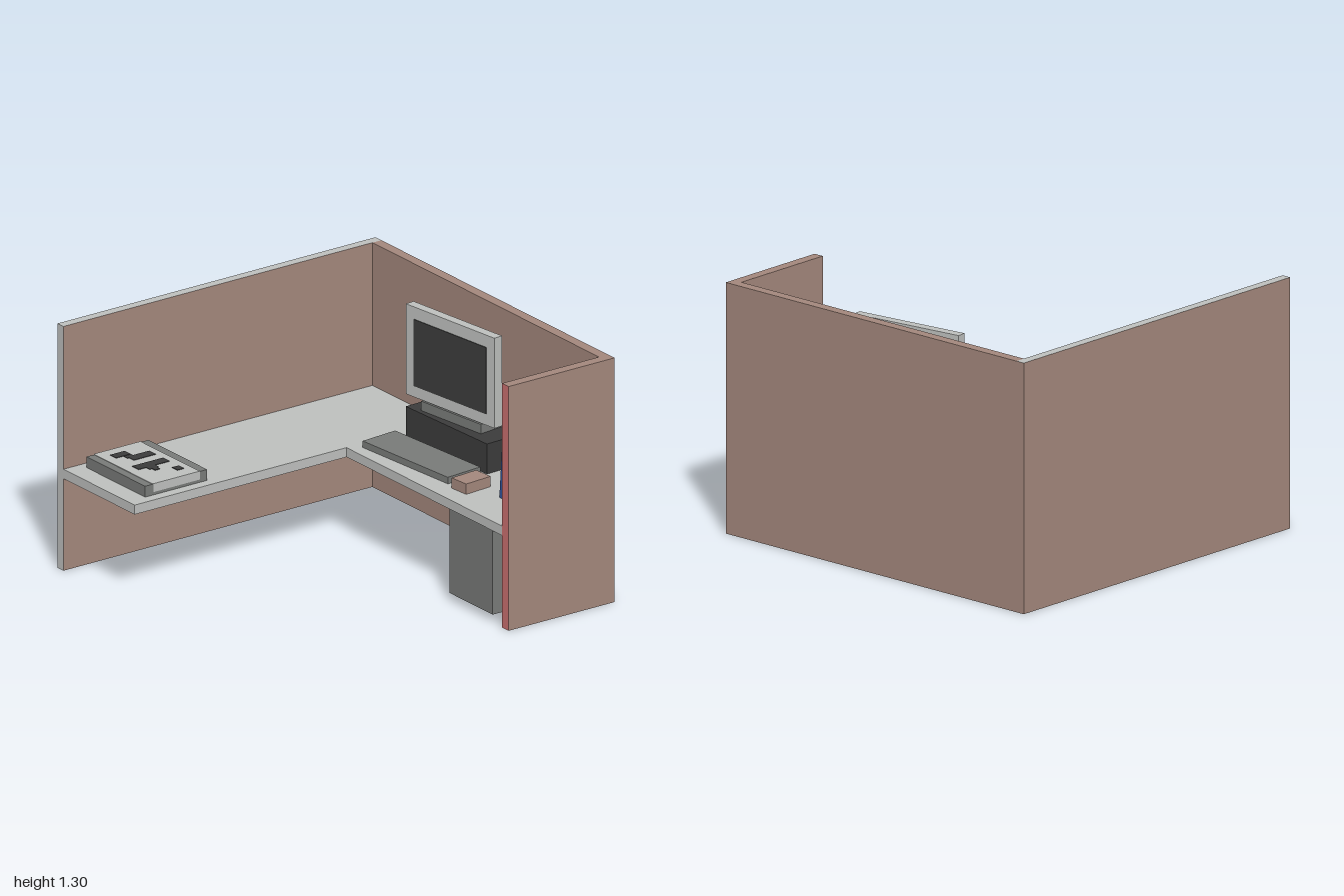
import * as THREE from 'three';

const mat = (name, color) => {
  const m = new THREE.MeshStandardMaterial({ color });
  m.name = name;
  return m;
};

export function createModel() {
  const brown = mat('brown fabric', 0xa3877c);
  const light = mat('light grey', 0xbdbfbd);
  const grey = mat('mid grey', 0x787a78);
  const dark = mat('charcoal', 0x3b3b3b);
  const blue = mat('blue', 0x2f549c);
  const red = mat('red', 0xcb7070);

  const model = new THREE.Group();

  // box from its lower and upper corners
  const box = (name, material, [x0, y0, z0], [x1, y1, z1], parent = model) => {
    const mesh = new THREE.Mesh(new THREE.BoxGeometry(x1 - x0, y1 - y0, z1 - z0), material);
    mesh.position.set((x0 + x1) / 2, (y0 + y1) / 2, (z0 + z1) / 2);
    mesh.name = name;
    parent.add(mesh);
    return mesh;
  };
  const group = (name, x, y, z) => {
    const g = new THREE.Group();
    g.name = name;
    g.position.set(x, y, z);
    model.add(g);
    return g;
  };

  // partition walls, with coloured trim on some edges
  box('backWall', [brown, light, light, brown, brown, brown], [-0.975, 0, -1], [0.975, 1.3, -0.95]);
  box('sideWall', brown, [0.92, 0, -0.95], [0.975, 1.3, 0.945]);
  box('frontWall', [brown, red, brown, brown, brown, brown], [0.325, 0, 0.945], [0.975, 1.3, 1]);

  // L-shaped desktop
  const deskShape = new THREE.Shape([
    [-0.975, 0.95], [-0.975, 0.355], [0.325, 0.355], [0.325, -0.945], [0.92, -0.945], [0.92, 0.95],
  ].map(([x, y]) => new THREE.Vector2(x, y)));
  const desk = new THREE.Mesh(
    new THREE.ExtrudeGeometry(deskShape, { depth: 0.05, bevelEnabled: false }), light);
  desk.rotation.x = -Math.PI / 2;
  desk.position.y = 0.49;
  desk.name = 'desktop';
  model.add(desk);

  // cabinet under the short leg of the desk
  box('cabinet', grey, [0.33, 0.04, 0.5], [0.92, 0.49, 0.86]);

  // document tray with a light centre and dark marks
  const tray = group('tray', -0.68, 0.54, -0.655);
  box('trayBody', grey, [-0.19, 0, -0.245], [0.19, 0.058, 0.245], tray);
  box('trayTop', light, [-0.145, 0.058, -0.245], [0.142, 0.061, 0.245], tray);
  for (const s of [-1, 1]) {
    const z = s * 0.2455;
    box('trayEndPanel', light, [-0.14, 0.016, z - 0.002], [0.145, 0.061, z + 0.002], tray);
  }
  const marks = [
    [-0.09, -0.185, 0.0, -0.135], [-0.045, -0.13, 0.0, -0.1], [-0.035, -0.115, 0.1, -0.06],
    [-0.09, 0.0, 0.1, 0.055], [-0.045, 0.055, 0.01, 0.085], [-0.03, 0.085, 0.0, 0.11],
    [0.06, 0.13, 0.1, 0.175],
  ];
  for (const [x0, z0, x1, z1] of marks) {
    box('trayMark', dark, [x0, 0.06, z0], [x1, 0.064, z1], tray);
  }

  // computer case
  const pc = group('computerCase', 0.766, 0.54, 0.015);
  pc.rotation.y = 0.04;
  box('caseBody', dark, [-0.103, 0, -0.322], [0.103, 0.16, 0.322], pc);

  // monitor on its stand
  const monitor = group('monitor', 0.725, 0.7, -0.002);
  monitor.rotation.y = 0.125;
  box('standBase', grey, [-0.02, 0, -0.215], [0.127, 0.05, 0.215], monitor);
  box('standNeck', grey, [0.02, 0.05, -0.055], [0.088, 0.3, 0.055], monitor);
  box('monitorPanel', light, [-0.025, 0.06, -0.318], [0.025, 0.54, 0.318], monitor);
  box('screen', dark, [-0.029, 0.12, -0.26], [-0.024, 0.475, 0.26], monitor);

  // keyboard and mouse
  const keyboard = group('keyboard', 0.522, 0.54, 0.003);
  keyboard.rotation.y = 0.08;
  box('keyboardBody', grey, [-0.106, 0, -0.322], [0.106, 0.035, 0.322], keyboard);
  const mouse = group('mouse', 0.508, 0.54, 0.438);
  mouse.rotation.y = 0.08;
  box('mouseBody', brown, [-0.08, 0, -0.055], [0.08, 0.055, 0.055], mouse);

  // leaning binders with pages showing on top
  for (const [name, cover, z] of [['blueBinder', blue, 0.63], ['redBinder', red, 0.745]]) {
    const binder = group(name, 0.54, 0.54, z);
    binder.rotation.x = 0.08;
    box('cover', cover, [0, 0, 0], [0.378, 0.505, 0.104], binder);
    box('pages', light, [0.05, 0.503, 0.027], [0.379, 0.508, 0.079], binder);
  }

  return model;
}
